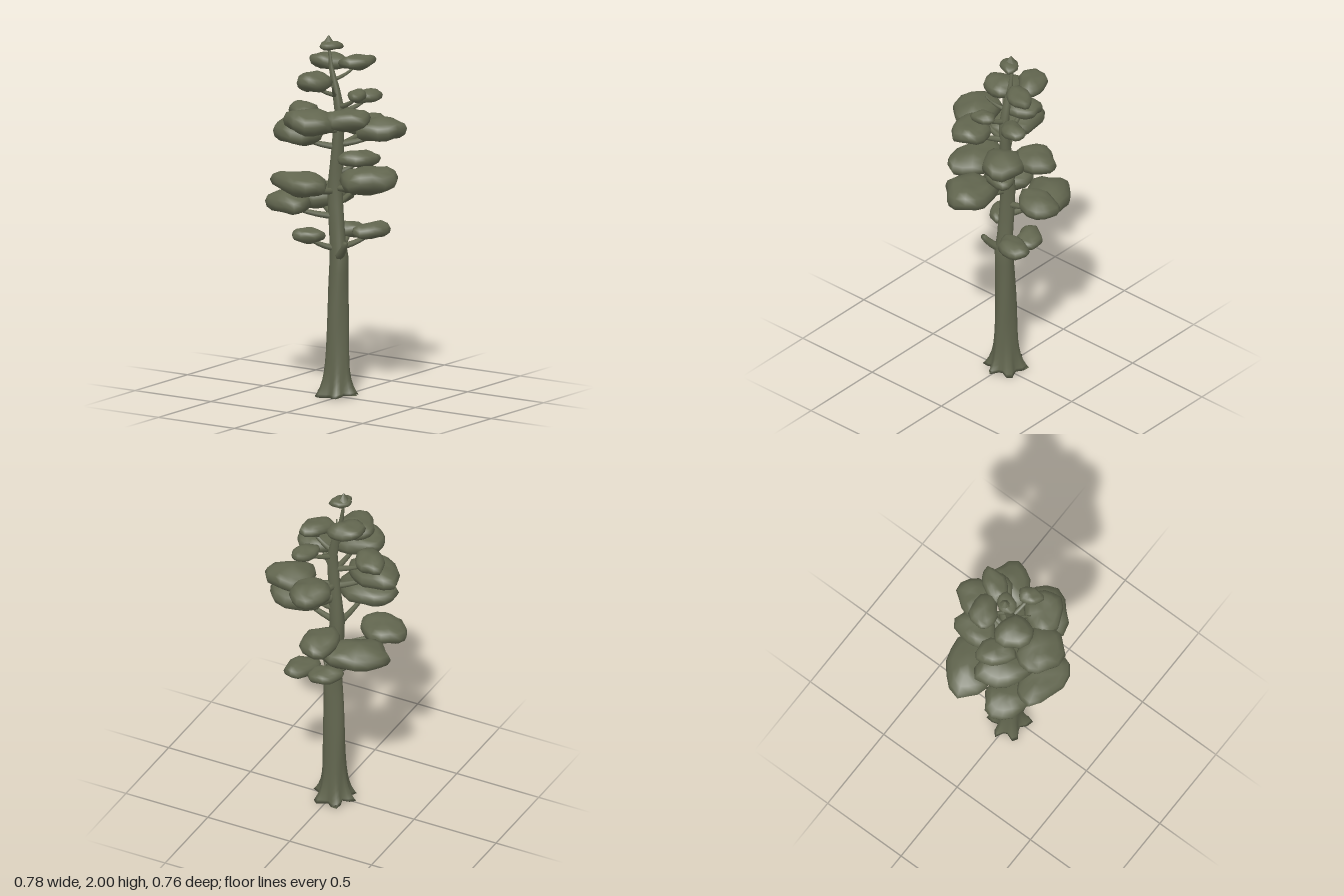
import * as THREE from 'three';
import { mergeVertices } from 'three/addons/utils/BufferGeometryUtils.js';

const olive = new THREE.MeshStandardMaterial({ color: 0x62664f });
olive.name = 'olive';

// Trunk spine: height, centre x, radius
const SPINE = [
  [0, -0.02, 0.066], [0.2, -0.017, 0.064], [0.45, -0.017, 0.06], [0.62, -0.014, 0.055],
  [0.78, -0.006, 0.051], [0.88, -0.016, 0.044], [1.15, -0.036, 0.042], [1.42, -0.015, 0.033],
  [1.6, -0.004, 0.028], [1.76, -0.04, 0.019], [1.86, -0.07, 0.009], [1.94, -0.075, 0.006],
];

// Foliage: x, y, z, half length, half width, yaw
const LOWER_PADS = [
  [-0.13, 0.902, 0.115, 0.095, 0.068, 0.35],
  [0.1, 0.908, -0.165, 0.115, 0.075, 1.15],
  [-0.04, 0.9, -0.16, 0.1, 0.07, 0.6],
  [-0.235, 1.08, 0.145, 0.145, 0.115, -0.4],
  [-0.225, 1.075, -0.135, 0.18, 0.125, 0.65],
  [-0.04, 1.145, -0.22, 0.13, 0.1, 1.4],
  [-0.075, 1.22, 0.26, 0.175, 0.115, -0.1],
  [0.22, 1.235, 0.04, 0.16, 0.14, 0.55],
  [0.08, 1.32, -0.06, 0.12, 0.08, 0.8],
];
const UPPER_PADS = [
  [-0.21, 1.465, 0.1, 0.165, 0.125, -0.45],
  [0.17, 1.48, -0.15, 0.14, 0.115, 0.7],
  [0.01, 1.47, -0.245, 0.125, 0.11, 1.45],
  [-0.045, 1.56, 0.225, 0.15, 0.125, 0.15],
  [0.13, 1.57, 0.11, 0.135, 0.105, 0.6],
  [-0.21, 1.575, 0.04, 0.11, 0.08, -0.9],
  [0.13, 1.69, 0.02, 0.07, 0.05, -1.2],
  [0.085, 1.655, -0.15, 0.09, 0.06, 1.2],
  [-0.11, 1.75, 0.09, 0.11, 0.095, -0.8],
  [-0.135, 1.833, -0.095, 0.108, 0.078, 0.5],
  [0.02, 1.835, -0.14, 0.105, 0.066, 1],
];

// Centre and radius of the trunk at a height
function trunkAt(y) {
  let i = 0;
  while (i < SPINE.length - 2 && SPINE[i + 1][0] < y) i++;
  const a = SPINE[i], b = SPINE[i + 1], t = (y - a[0]) / (b[0] - a[0]);
  const x = THREE.MathUtils.lerp(a[1], b[1], t);
  return { centre: new THREE.Vector3(x, y, -0.008), radius: THREE.MathUtils.lerp(a[2], b[2], t) };
}

// Ring of points placed by a function of the angle
function ring(n, place) {
  return Array.from({ length: n }, (_, j) => place(j / n * Math.PI * 2));
}

// Skin a stack of rings that turn clockwise about their path, and cap both ends
function loft(rings) {
  const n = rings[0].length, pts = rings.flat(), idx = [];
  const top = (rings.length - 1) * n, cap = pts.length;
  const middle = r => r.reduce((s, p) => s.add(p), new THREE.Vector3()).divideScalar(n);
  pts.push(middle(rings[0]), middle(rings[rings.length - 1]));
  for (let j = 0; j < n; j++) {
    const k = (j + 1) % n;
    for (let row = 0; row < top; row += n) {
      const a = row + j, b = row + k;
      idx.push(a, a + n, b, b, a + n, b + n);
    }
    idx.push(cap, j, k, cap + 1, top + k, top + j);
  }
  const g = new THREE.BufferGeometry().setFromPoints(pts);
  g.setIndex(idx);
  g.computeVertexNormals();
  return g;
}

// Trunk that flares into six lobed roots
function trunkGeometry() {
  const rings = [];
  for (let i = 0; i <= 24; i++) {
    const y = 0.012 + 1.928 * Math.pow(i / 24, 1.5);
    const { centre, radius } = trunkAt(y), flare = Math.exp(-y / 0.07);
    rings.push(ring(24, a => {
      const lobe = Math.cos(a * 6 - 0.4 + 0.4 * Math.sin(a * 2));
      const r = radius * (1 + 0.05 * Math.sin(a * 3 + y * 7)) + flare * (0.045 + 0.035 * lobe);
      const dip = 0.01 * flare * Math.sin(a * 2 + 1);
      return new THREE.Vector3(Math.cos(a) * r, dip, Math.sin(a) * r * 0.94).add(centre);
    }));
  }
  return loft(rings);
}

// Tapered limb with a slight sag
function limbGeometry(from, to, r0, r1) {
  const mid = from.clone().lerp(to, 0.55);
  mid.y -= 0.025;
  const curve = new THREE.QuadraticBezierCurve3(from, mid, to);
  const steps = 5, frames = curve.computeFrenetFrames(steps, false), rings = [];
  for (let i = 0; i <= steps; i++) {
    const c = curve.getPointAt(i / steps), r = THREE.MathUtils.lerp(r0, r1, i / steps);
    rings.push(ring(7, a => c.clone()
      .addScaledVector(frames.normals[i], Math.cos(a) * r)
      .addScaledVector(frames.binormals[i], -Math.sin(a) * r)));
  }
  return loft(rings);
}

// Lumpy flattened cushion with blunt sides
function padGeometry(length, height, width, seed) {
  let g = new THREE.SphereGeometry(1, 14, 8);
  g.deleteAttribute('uv');
  g.deleteAttribute('normal');
  g = mergeVertices(g, 1e-4);
  const pos = g.attributes.position, v = new THREE.Vector3();
  for (let i = 0; i < pos.count; i++) {
    v.fromBufferAttribute(pos, i);
    const t = Math.atan2(v.z, v.x), flat = Math.hypot(v.x, v.z);
    const lump = 1 + flat * (0.07 * Math.sin(3 * t + seed * 1.7) + 0.05 * Math.sin(5 * t + seed * 2.9));
    const bump = 0.18 * Math.sin(v.x * 4 + seed) * Math.cos(v.z * 3.5 + seed * 2);
    const y = Math.sign(v.y) * Math.pow(Math.abs(v.y), 0.8);
    pos.setXYZ(i, v.x * length * lump, (y + bump) * height, v.z * width * lump);
  }
  g.computeVertexNormals();
  return g;
}

export function createModel() {
  const tree = new THREE.Group();
  tree.name = 'tree';
  const add = (geometry, name) => {
    const mesh = new THREE.Mesh(geometry, olive);
    mesh.name = name;
    tree.add(mesh);
    return mesh;
  };

  add(trunkGeometry(), 'trunk');

  // Each foliage pad with the branch that carries it
  [...LOWER_PADS, ...UPPER_PADS].forEach(([x, y, z, length, width, yaw], i) => {
    const height = 0.008 + width * 0.46;
    const pad = add(padGeometry(length, height, width, i + 1), 'foliagePad');
    pad.position.set(x, y, z);
    pad.rotation.set(0, yaw, 0.08 * Math.sin(i * 2));
    const { centre, radius } = trunkAt(y - 0.08);
    const r = Math.min(0.02, radius * 0.6);
    add(limbGeometry(centre, new THREE.Vector3(x, y - height * 0.3, z), r, r * 0.5), 'branch');
  });

  // Broken stub on the lower trunk and a bare twig near the top
  add(limbGeometry(new THREE.Vector3(0, 0.78, 0.01), new THREE.Vector3(0.085, 0.875, 0.065), 0.026, 0.015), 'stub');
  add(limbGeometry(new THREE.Vector3(-0.03, 1.67, 0), new THREE.Vector3(0.025, 1.74, 0.1), 0.013, 0.004), 'twig');

  // Crown tuft with a pointed tip
  const tuft = add(padGeometry(0.066, 0.024, 0.05, 4), 'crownTuft');
  tuft.position.set(-0.056, 1.942, 0);
  tuft.rotation.y = 1;
  const tip = add(new THREE.ConeGeometry(0.042, 0.058, 7), 'crownTip');
  tip.position.set(-0.07, 1.971, 0);
  return tree;
}
